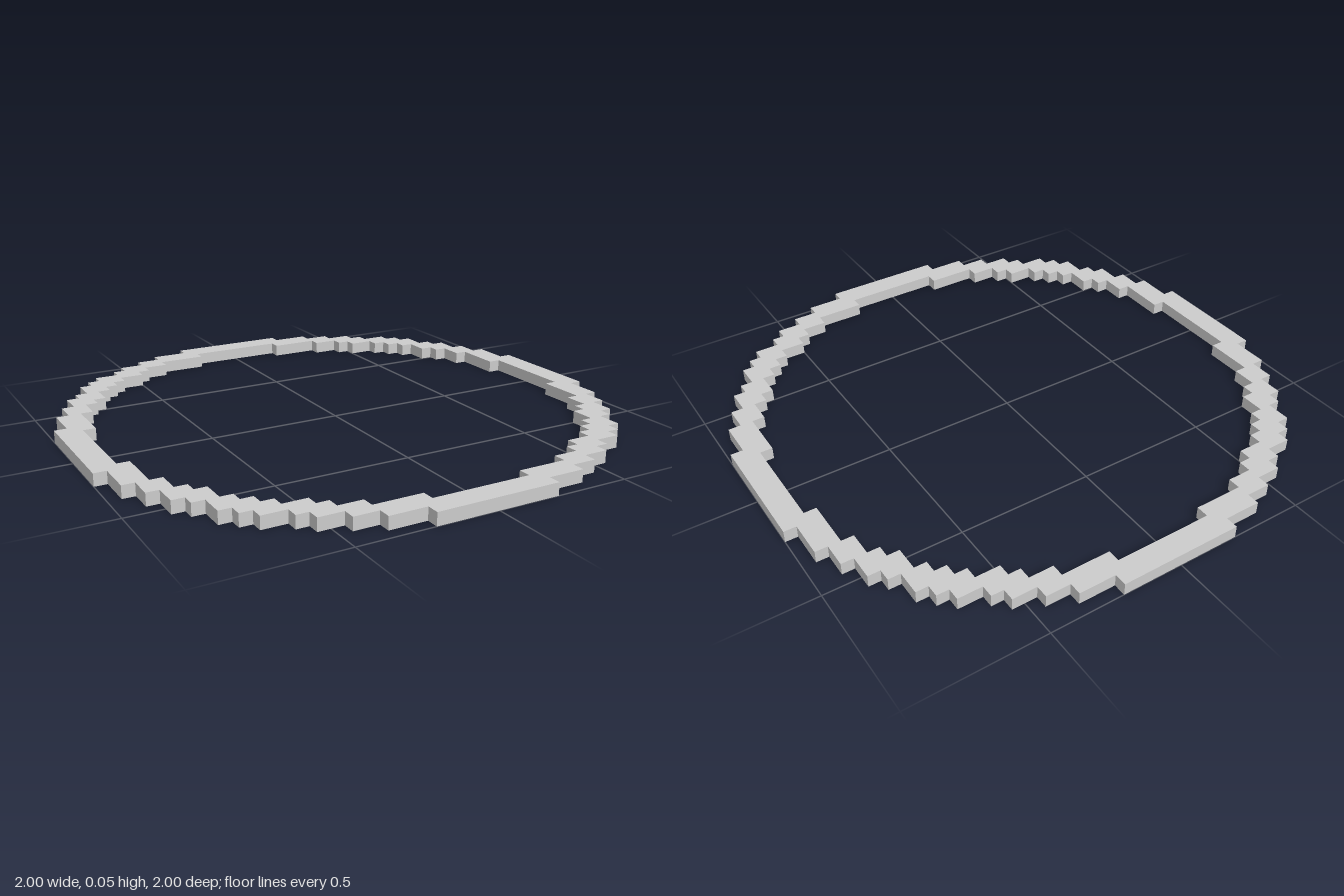
import * as THREE from 'three';

const CELL = 1 / 22;

// Staircase corners of one quadrant, as [x, z] in cells; each pair is the end
// of a tread: [where the tread ends, its height].
const OUTER = [[5, 22], [8, 21], [10, 20], [12, 19], [13, 18], [15, 17], [16, 16],
  [17, 15], [18, 13], [19, 12], [20, 10], [21, 8], [22, 5]];
const INNER = [[4, 20], [8, 19], [10, 18], [11, 17], [13, 16], [14, 15], [15, 14],
  [16, 13], [17, 11], [18, 10], [19, 8], [20, 4]];

// Turn the treads into a closed, clockwise stepped outline by rotating the quadrant
function steppedOutline(treads) {
  const quadrant = [];
  treads.forEach(([x, z], i) => {
    quadrant.push([x, z]);
    if (i < treads.length - 1) quadrant.push([x, treads[i + 1][1]]);
  });
  const points = [];
  for (let turn = 0; turn < 4; turn++) {
    for (const [x, z] of quadrant) {
      const [px, pz] = [[x, z], [z, -x], [-x, -z], [-z, x]][turn];
      points.push(new THREE.Vector2(px * CELL, pz * CELL));
    }
  }
  return points;
}

export function createModel() {
  const group = new THREE.Group();
  group.name = 'steppedRing';

  // Flat ring, one cell thick; the hole runs counter-clockwise so its walls face inward
  const shape = new THREE.Shape(steppedOutline(OUTER));
  shape.holes.push(new THREE.Path(steppedOutline(INNER).reverse()));
  const geometry = new THREE.ExtrudeGeometry(shape, { depth: CELL, bevelEnabled: false });
  geometry.rotateX(-Math.PI / 2);

  const material = new THREE.MeshStandardMaterial({ color: 0xcccccc, flatShading: true });
  const ring = new THREE.Mesh(geometry, material);
  ring.name = 'ring';
  group.add(ring);
  return group;
}
